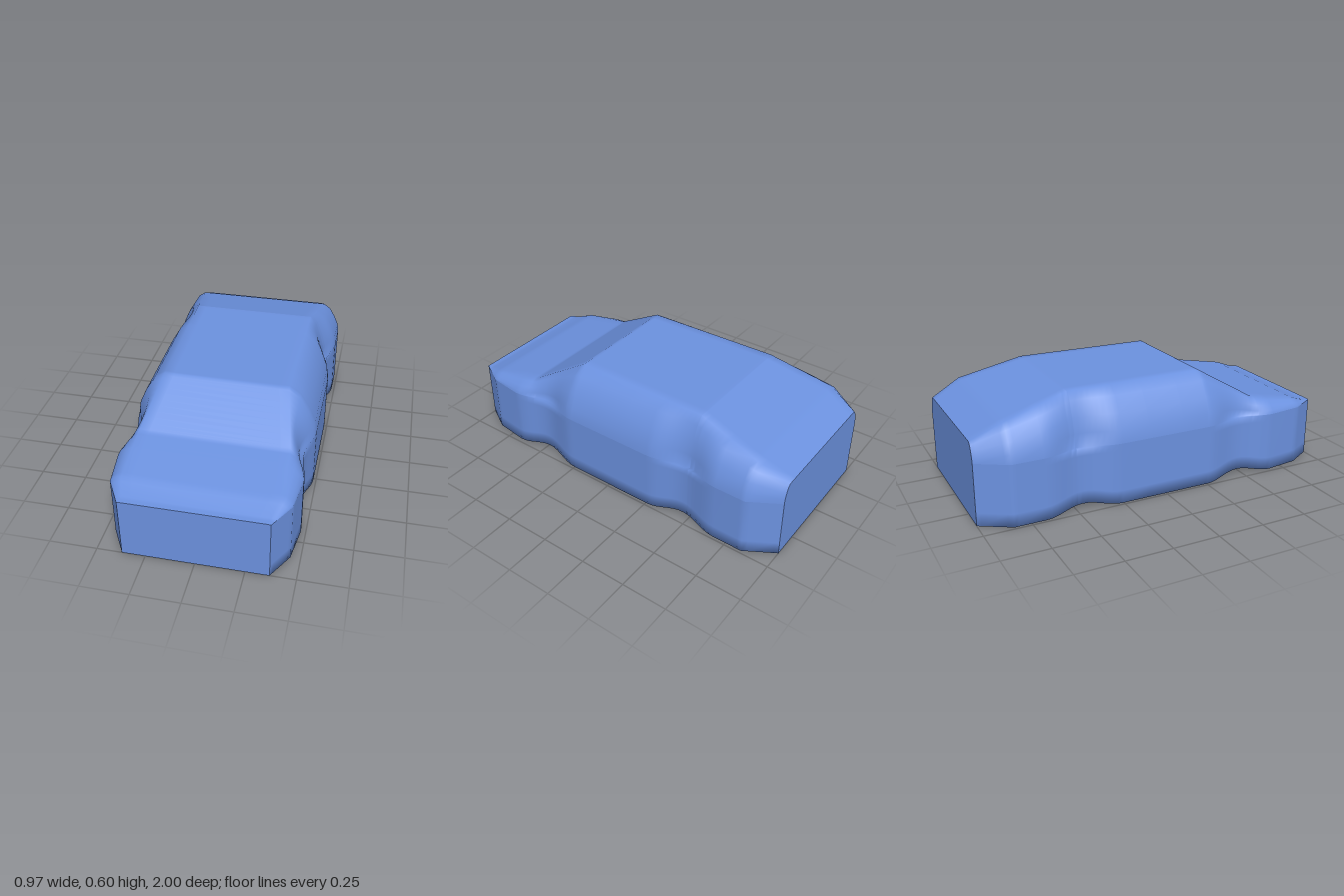
import * as THREE from 'three';

// Piecewise-linear curve through [z, value] pairs
function along(keys, z) {
  for (let i = 1; i < keys.length; i++) {
    const [z0, v0] = keys[i - 1], [z1, v1] = keys[i];
    if (z <= z1) return THREE.MathUtils.mapLinear(z, z0, z1, v0, v1);
  }
  return keys[keys.length - 1][1];
}

const BELT = 0.33;
const HALF_WIDTH = [[-1, 0.39], [-0.84, 0.485], [0.27, 0.485], [0.67, 0.475], [0.86, 0.45], [1, 0.37]];
const ROOF = [[-1, 0.43], [-0.84, 0.51], [-0.49, 0.6], [0.27, 0.6], [0.57, 0.425], [0.86, 0.37], [0.96, 0.335], [1, 0.332]];
const ROOF_WIDTH = [[-1, 0.35], [-0.84, 0.385], [-0.49, 0.34], [0.27, 0.33], [0.57, 0.39], [0.86, 0.39], [1, 0.35]];

// Soft bump over the two wheel positions
function wheelBump(z) {
  const d = Math.abs(Math.abs(z) - 0.465) / 0.21;
  return d < 1 ? Math.cos(d * Math.PI / 2) ** 2 : 0;
}

// Cross-section, anticlockwise seen from the front
function section(z) {
  const bump = wheelBump(z), w = along(HALF_WIDTH, z);
  const low = w - 0.034 * bump, high = w - 0.055 * bump;
  const floor = 0.028 * bump, top = along(ROOF, z);
  const roofW = along(ROOF_WIDTH, z);
  const half = [[low - 0.08, floor], [low, floor], [low, floor + 0.07], [low, BELT - 0.04], [low, BELT]];
  // Tapering upper side: [height share, inset share]
  for (const [h, inset] of [[0, 0], [0.26, 0.065], [0.55, 0.29], [0.85, 0.61], [1, 1]]) {
    half.push([high + (roofW - high) * inset, BELT + (top - BELT) * h]);
  }
  half.push([roofW - 0.05, top]);
  return [...half, ...half.map(([x, y]) => [-x, y]).reverse()];
}

// Stations: profile breaks with close supports, plus samples around the wheels
function stations() {
  const zs = new Set([-1, -0.98, 0.98, 1, 0.96, -0.1, 0.1]);
  for (const z of [-0.84, -0.49, 0.27, 0.57, 0.86]) for (const d of [-0.025, 0, 0.025]) zs.add(+(z + d).toFixed(3));
  for (let i = 0; i <= 14; i++) for (const s of [-1, 1]) zs.add(+(s * (0.255 + i * 0.03)).toFixed(3));
  return [...zs].sort((a, b) => a - b);
}

function bodyShell() {
  const zs = stations(), pos = [], index = [];
  let n = 0;
  zs.forEach((z) => {
    const ring = section(z);
    n = ring.length;
    ring.forEach(([x, y]) => pos.push(x, y, z));
  });
  for (let i = 0; i < zs.length - 1; i++) {
    for (let j = 0; j < n; j++) {
      const a = i * n + j, b = i * n + (j + 1) % n;
      index.push(a, b, a + n, b, b + n, a + n);
    }
  }
  const geo = new THREE.BufferGeometry();
  geo.setAttribute('position', new THREE.Float32BufferAttribute(pos, 3));
  geo.setIndex(index);
  geo.computeVertexNormals();
  return geo;
}

// Flat panel closing one end of the shell
function endPanel(z) {
  const shape = new THREE.Shape(section(z).map(([x, y]) => new THREE.Vector2(x, y)));
  const geo = new THREE.ShapeGeometry(shape);
  if (z < 0) geo.rotateY(Math.PI);
  return geo.translate(0, 0, z);
}

export function createModel() {
  const group = new THREE.Group();
  group.name = 'carBody';
  const paint = new THREE.MeshStandardMaterial({ color: 0x6c92e0 });
  const add = (name, geo) => {
    const mesh = new THREE.Mesh(geo, paint);
    mesh.name = name;
    group.add(mesh);
  };
  add('bodyShell', bodyShell());
  add('frontPanel', endPanel(1));
  add('rearPanel', endPanel(-1));
  return group;
}
